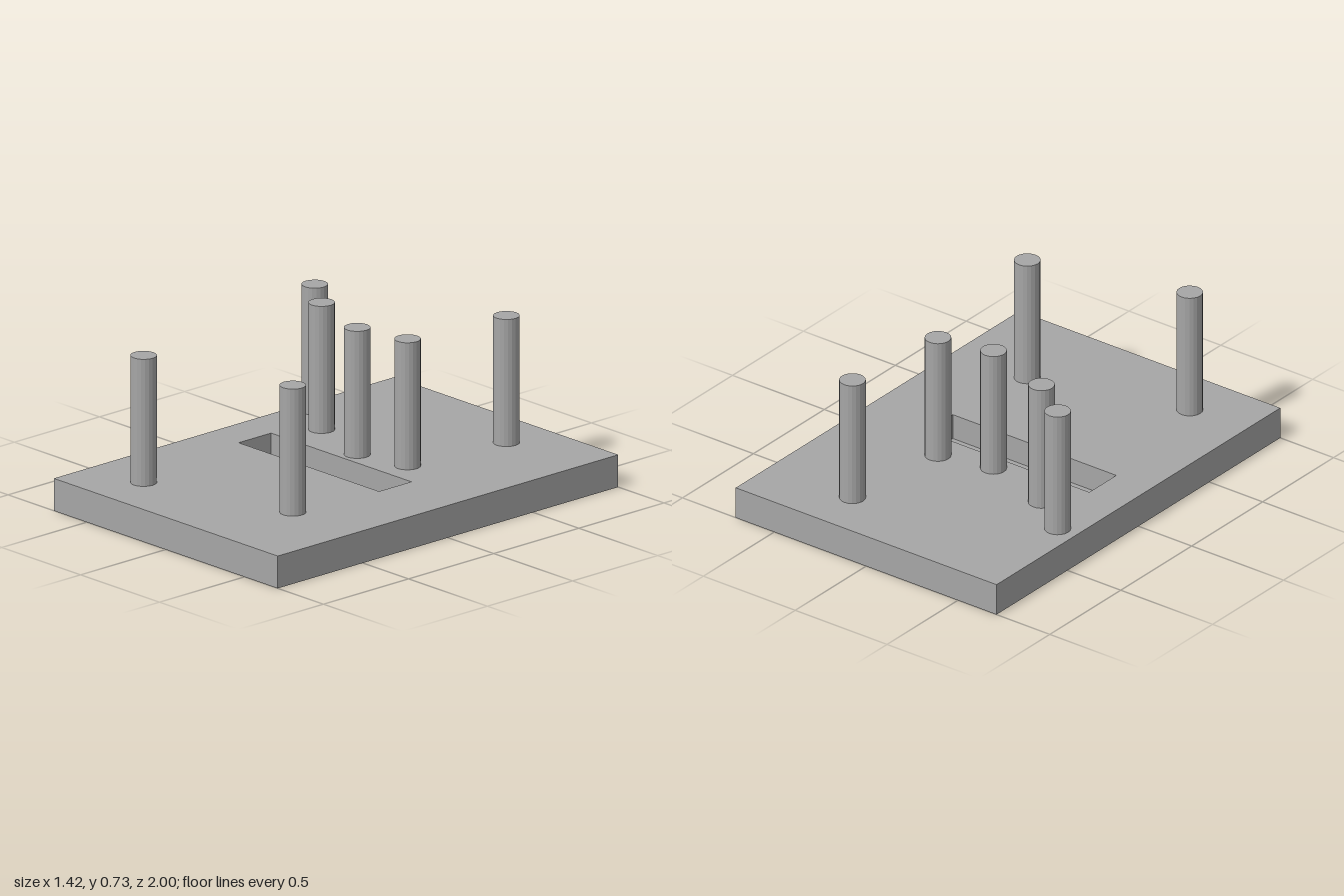
import * as THREE from 'three';

export function createModel() {
  const model = new THREE.Group();
  model.name = 'pegBoard';
  const grey = new THREE.MeshStandardMaterial({ color: 0xa6a6a6, flatShading: true });
  grey.name = 'plain grey';

  const halfWidth = 0.71, halfLength = 1, thickness = 0.147;
  const slot = { x0: -0.52, x1: 0.37, z0: -0.10, z1: 0.09, floor: 0.03 };
  const pegRadius = 0.0575, pegTop = 0.725;

  const add = (name, geometry, x = 0, y = 0, z = 0) => {
    const mesh = new THREE.Mesh(geometry, grey);
    mesh.name = name;
    mesh.position.set(x, y, z);
    model.add(mesh);
  };

  // Rectangle outline on the ground plane (shape y is -z)
  const rectangle = (Type, x0, x1, z0, z1) => new Type([
    [x0, -z1], [x1, -z1], [x1, -z0], [x0, -z0],
  ].map(([x, y]) => new THREE.Vector2(x, y)));

  // Base plate with the slot cut out
  const outline = rectangle(THREE.Shape, -halfWidth, halfWidth, -halfLength, halfLength);
  outline.holes.push(rectangle(THREE.Path, slot.x0, slot.x1, slot.z0, slot.z1));
  const plate = new THREE.ExtrudeGeometry(outline, { depth: thickness, bevelEnabled: false });
  plate.rotateX(-Math.PI / 2);
  add('basePlate', plate);

  // Closed floor at the bottom of the slot
  add('slotFloor',
    new THREE.BoxGeometry(slot.x1 - slot.x0, slot.floor, slot.z1 - slot.z0),
    (slot.x0 + slot.x1) / 2, slot.floor / 2, (slot.z0 + slot.z1) / 2);

  // Upright round pegs, as x and z
  const pegHeight = pegTop - thickness;
  const pegGeometry = new THREE.CylinderGeometry(pegRadius, pegRadius, pegHeight, 20);
  [
    [0.26, -0.76], [-0.61, -0.44], [-0.41, -0.295], [-0.06, -0.18],
    [0.20, -0.235], [0.32, 0.55], [-0.41, 0.75],
  ].forEach(([x, z], i) => add(`peg${i + 1}`, pegGeometry, x, thickness + pegHeight / 2, z));

  return model;
}
